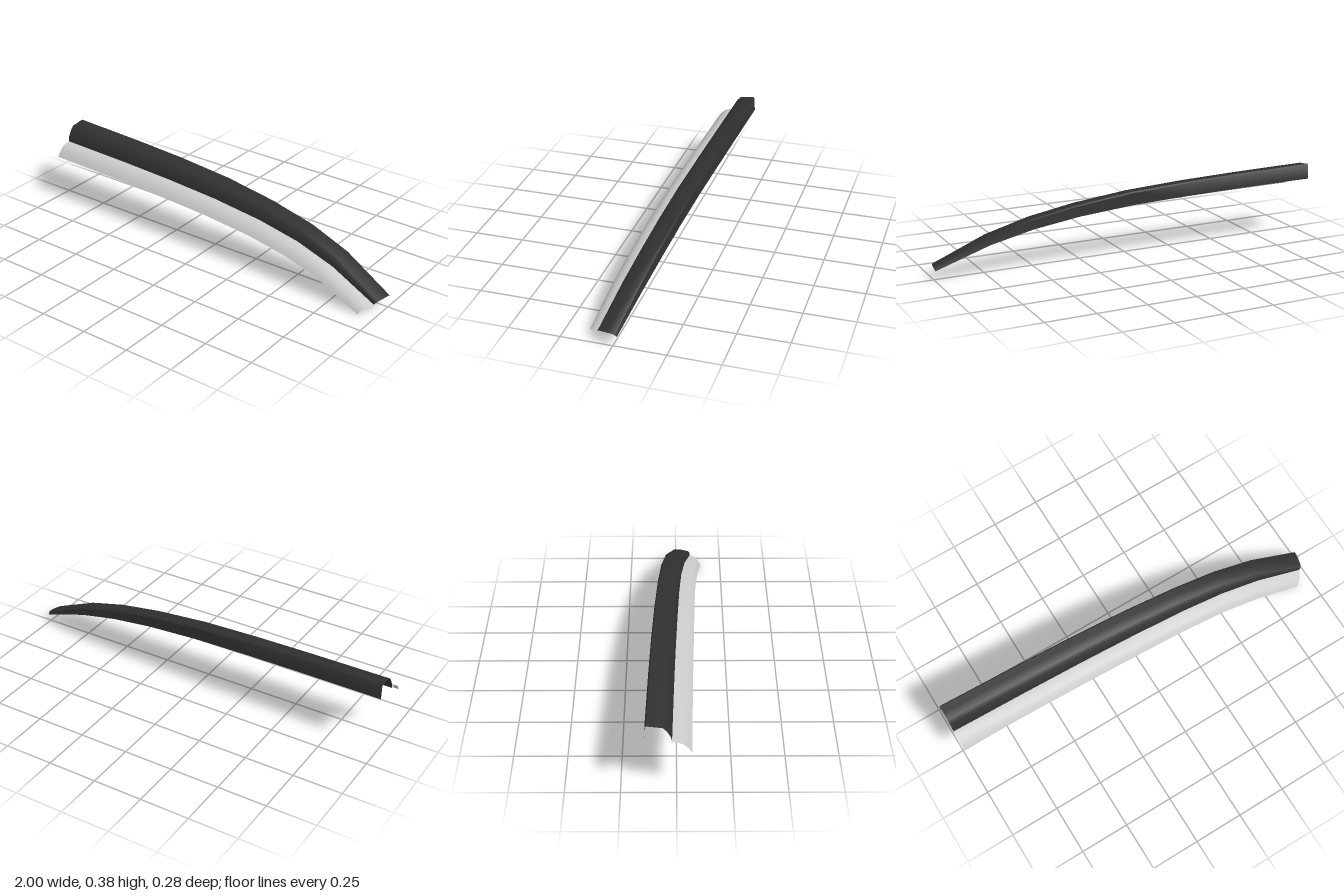
import * as THREE from 'three';
import { toCreasedNormals } from 'three/addons/utils/BufferGeometryUtils.js';

// Seam between the two strips: x, y, z and blend from start to end section
const seam = [
  [-1, 0.289, -0.02, 0], [-0.6, 0.283, -0.011, 0.05], [-0.3, 0.275, -0.003, 0.1],
  [0, 0.261, 0.007, 0.18], [0.28, 0.235, 0.017, 0.32], [0.51, 0.198, 0.029, 0.45],
  [0.72, 0.142, 0.048, 0.62], [0.97, 0.04, 0.08, 1],
];

// Section points relative to the seam: [dx, dy, dz]
const hoodSection = {
  start: [[0, 0, 0], [0, 0.025, -0.004], [0, 0.058, -0.022], [0, 0.077, -0.04],
    [0, 0.082, -0.08], [0, 0.087, -0.113], [0, 0.08, -0.119], [0, 0.01, -0.123]],
  end: [[0, 0, 0], [0.008, 0.012, -0.002], [0.011, 0.015, -0.005], [0.015, 0.018, -0.012],
    [0.025, 0.021, -0.05], [0.03, 0.021, -0.082], [0.03, 0.018, -0.09], [0.025, 0.007, -0.098]],
};
const lipSection = {
  start: [[0, -0.06, 0.088], [0, -0.035, 0.072], [0, -0.014, 0.05], [0, -0.003, 0.025], [0, 0, 0]],
  end: [[-0.05, -0.04, 0.061], [-0.042, -0.027, 0.055], [-0.03, -0.015, 0.045], [-0.012, -0.005, 0.025], [0, 0, 0]],
};

// Sweep a section along the seam, blending its shape towards the end
function sweep(name, { start, end }, color) {
  const n = start.length, positions = [], index = [];
  seam.forEach(([x, y, z, w], i) => {
    for (let j = 0; j < n; j++) {
      const [dx, dy, dz] = start[j].map((s, k) => THREE.MathUtils.lerp(s, end[j][k], w));
      positions.push(x + dx, y + dy, z + dz);
      if (i && j) {
        const d = i * n + j, c = d - 1, b = d - n, a = b - 1;
        index.push(a, c, b, c, d, b);
      }
    }
  });
  const geometry = new THREE.BufferGeometry();
  geometry.setAttribute('position', new THREE.Float32BufferAttribute(positions, 3));
  geometry.setIndex(index);
  const material = new THREE.MeshStandardMaterial({ color, side: THREE.DoubleSide });
  const mesh = new THREE.Mesh(toCreasedNormals(geometry, 0.7), material);
  mesh.name = name;
  return mesh;
}

export function createModel() {
  const group = new THREE.Group();
  group.name = 'curvedTrim';
  group.add(sweep('upperHood', hoodSection, 0x303030)); // dark raised strip with back flange
  group.add(sweep('frontLip', lipSection, 0xcccccc)); // rounded front strip
  return group;
}
